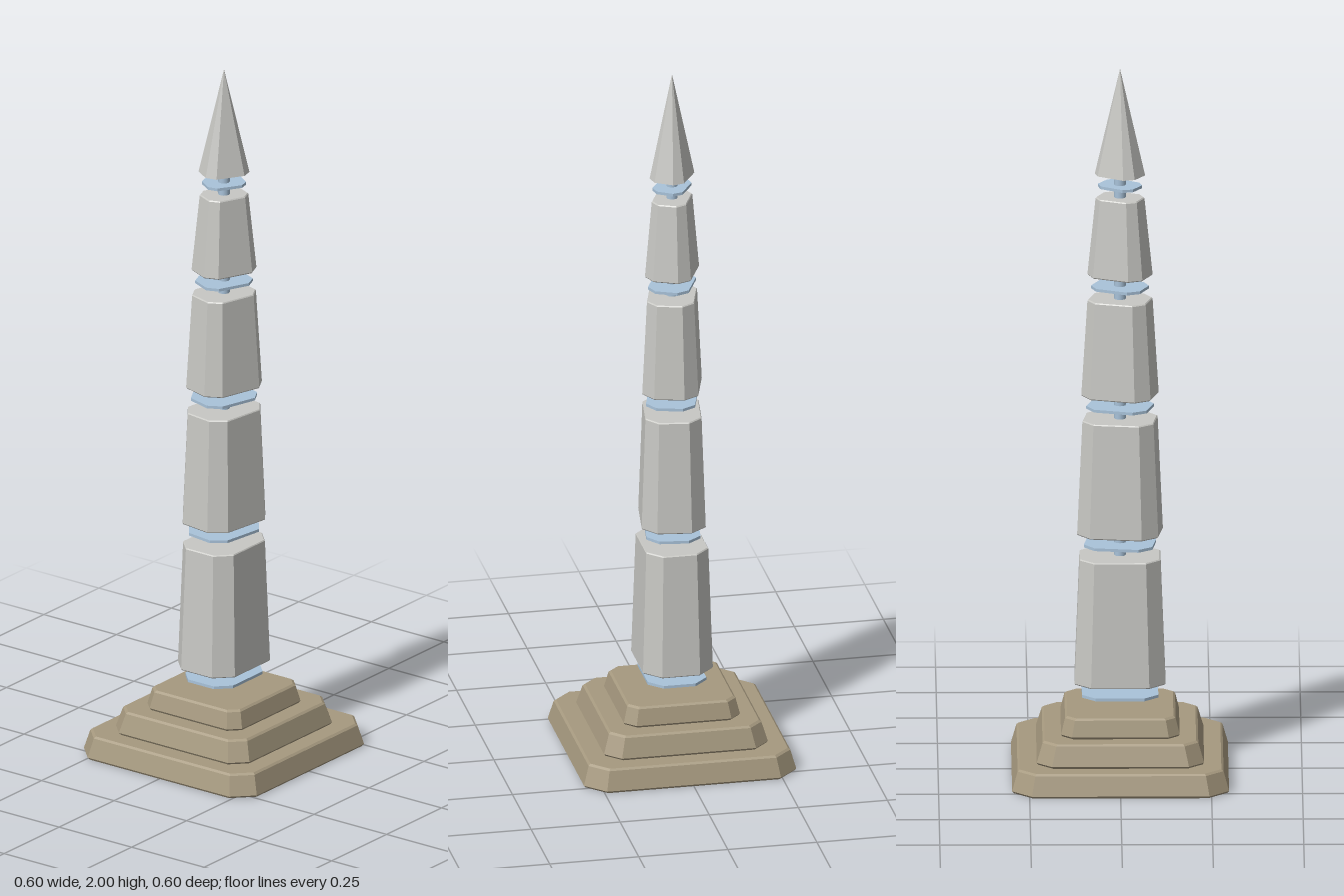
import * as THREE from 'three';

const stone = new THREE.MeshStandardMaterial({ name: 'pale stone', color: 0xc8c8c4 });
const tan = new THREE.MeshStandardMaterial({ name: 'tan stone', color: 0xa6997f });
const blue = new THREE.MeshStandardMaterial({ name: 'pale blue', color: 0xa9c3da });

// Rectangle with cut corners, at height y
function octagon(y, hx, hz, cut) {
  const a = hx - cut, b = hz - cut;
  return [[hx, -b], [hx, b], [a, hz], [-a, hz], [-hx, b], [-hx, -b], [-a, -hz], [a, -hz]]
    .map(([x, z]) => new THREE.Vector3(x, y, z));
}

// Flat-faced solid through a stack of rings, closed at both ends
function loft(rings) {
  const pts = [];
  const n = rings[0].length;
  const first = rings[0], last = rings[rings.length - 1];
  const bottom = new THREE.Vector3(0, first[0].y, 0);
  const top = new THREE.Vector3(0, last[0].y, 0);
  for (let i = 0; i < n; i++) {
    const j = (i + 1) % n;
    for (let k = 0; k + 1 < rings.length; k++) {
      const a = rings[k][i], b = rings[k][j], c = rings[k + 1][j], d = rings[k + 1][i];
      pts.push(a, d, c, a, c, b);
    }
    pts.push(bottom, first[i], first[j], top, last[j], last[i]);
  }
  const geo = new THREE.BufferGeometry().setFromPoints(pts);
  geo.computeVertexNormals();
  return geo;
}

export function createModel() {
  const group = new THREE.Group();
  const add = (name, geo, mat, turn = 0) => {
    const mesh = new THREE.Mesh(geo, mat);
    mesh.name = name;
    mesh.rotation.y = turn;
    group.add(mesh);
  };

  // Stepped base: bottom y, top y, lower half width, upper half width, corner cut
  [[0, 0.065, 0.298, 0.283, 0.054], [0.065, 0.13, 0.23, 0.214, 0.042], [0.13, 0.186, 0.163, 0.152, 0.03]]
    .forEach(([y0, y1, w0, w1, cut], i) => {
      add(`baseStep${i + 1}`, loft([
        octagon(y0, w0 - 0.004, w0 - 0.004, cut),
        octagon(y0 + 0.006, w0, w0, cut),
        octagon(y1 - 0.005, w1, w1, cut * 0.9),
        octagon(y1, w1 - 0.006, w1 - 0.006, cut * 0.85),
      ]), tan);
    });

  // Shaft cross-section, scaled by s
  const section = (y, s) => octagon(y, 0.125 * s, 0.098 * s, 0.045 * s);
  const twist = (i) => -THREE.MathUtils.degToRad(8) * i;

  // Tapered blocks, each turned a little further than the one below
  [[0.255, 0.612, 1, 0.89], [0.677, 1.003, 0.9, 0.79], [1.07, 1.345, 0.79, 0.665], [1.412, 1.635, 0.66, 0.495]]
    .forEach(([y0, y1, s0, s1], i) => {
      add(`shaftBlock${i + 1}`, loft([
        section(y0, s0 - 0.02), section(y0 + 0.003, s0),
        section(y1 - 0.003, s1), section(y1, s1 - 0.02),
      ]), stone, twist(i));
    });

  // Pointed top
  add('spireTip', loft([section(1.7, 0.515), section(2, 0.004)]), stone, twist(4));

  // Thin plates floating in the gaps
  [[0.22, 0.84], [0.645, 0.76], [1.037, 0.69], [1.378, 0.585], [1.667, 0.45]].forEach(([y, s], i) => {
    add(`gapPlate${i + 1}`, loft([section(y - 0.004, s), section(y + 0.004, s)]), blue, twist(i));
  });

  // Core rod joining the blocks
  const rod = new THREE.CylinderGeometry(0.016, 0.016, 1.3, 12);
  rod.translate(0, 1.06, 0);
  add('coreRod', rod, blue);

  return group;
}
